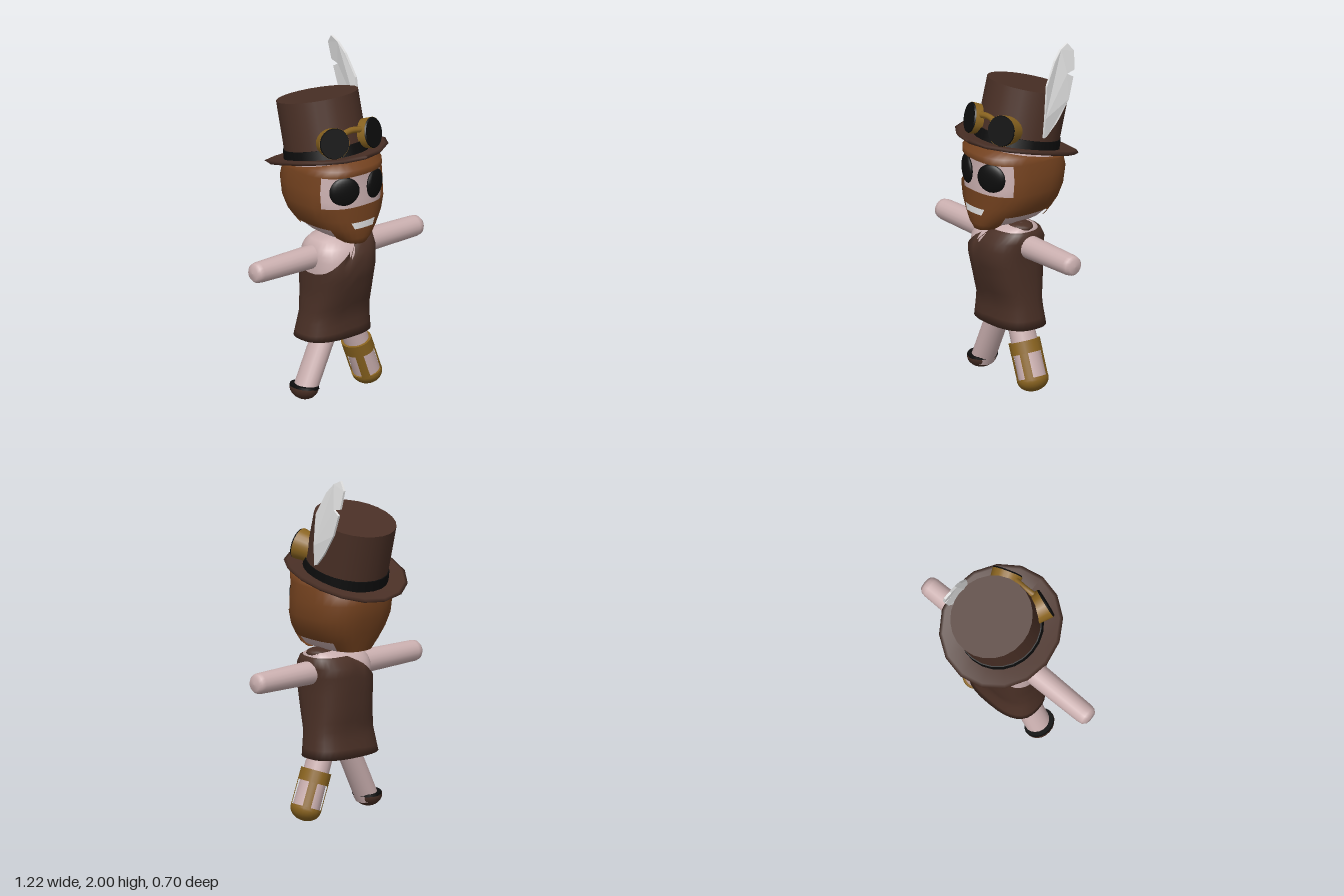
import * as THREE from 'three';

const mat = (name, color, side = THREE.FrontSide) => {
  const m = new THREE.MeshStandardMaterial({ color, side });
  m.name = name;
  return m;
};
const D = THREE.DoubleSide;

// Grid surface from a point rule; optionally closed around, with faces left out by keep().
function grid(point, nu, nv, { wrap = true, keep = () => true } = {}) {
  const cols = wrap ? nu : nu + 1, pos = [], idx = [];
  for (let j = 0; j <= nv; j++) for (let i = 0; i < cols; i++) pos.push(...point(i, j));
  for (let j = 0; j < nv; j++) for (let i = 0; i < nu; i++) {
    if (!keep(i, j)) continue;
    const k = (i + 1) % cols, a = j * cols + i, b = j * cols + k;
    idx.push(a, b, b + cols, a, b + cols, a + cols);
  }
  const g = new THREE.BufferGeometry();
  g.setAttribute('position', new THREE.Float32BufferAttribute(pos, 3));
  g.setIndex(idx);
  g.computeVertexNormals();
  return g;
}

// Point on a stack of rounded sections; each row is [y, xMin, xMax, front, back].
function section(rows, angle, y, power, inset = 0) {
  let k = 0;
  while (k < rows.length - 2 && y > rows[k + 1][0]) k++;
  const t = THREE.MathUtils.clamp((y - rows[k][0]) / (rows[k + 1][0] - rows[k][0]), 0, 1);
  const [, x0, x1, f, b] = rows[k].map((v, n) => v + (rows[k + 1][n] - v) * t);
  const bend = v => Math.sign(v) * Math.abs(v) ** (2 / power);
  const sx = bend(Math.sin(angle)), sz = bend(Math.cos(angle));
  return [(x0 + x1) / 2 + sx * Math.max(0, (x1 - x0) / 2 - inset), y,
    (f + b) / 2 + sz * Math.max(0, (f - b) / 2 - inset)];
}

const HEAD = [
  [0.95, -0.08, 0.08, 0.29, -0.10], [0.985, -0.14, 0.14, 0.30, -0.17], [1.04, -0.19, 0.19, 0.305, -0.19],
  [1.10, -0.235, 0.235, 0.305, -0.21], [1.18, -0.262, 0.262, 0.305, -0.235], [1.27, -0.264, 0.264, 0.30, -0.25],
  [1.36, -0.255, 0.255, 0.298, -0.24], [1.40, -0.245, 0.245, 0.305, -0.23], [1.45, -0.22, 0.22, 0.24, -0.20],
];
const TORSO = [
  [0.36, -0.24, 0.22, 0.195, -0.11], [0.50, -0.215, 0.205, 0.19, -0.085], [0.62, -0.205, 0.20, 0.23, -0.10],
  [0.78, -0.21, 0.20, 0.27, -0.11], [0.89, -0.205, 0.21, 0.255, -0.11], [0.945, -0.17, 0.21, 0.20, -0.06],
  [0.972, -0.09, 0.19, 0.14, 0.0], [0.982, -0.02, 0.14, 0.09, 0.05],
];

export function createModel() {
  const root = new THREE.Group();
  const skin = mat('skin', 0xcbb0b0, D), hair = mat('hair brown', 0x74421f, D);
  const cloth = mat('dark brown cloth', 0x4a3026, D), black = mat('black', 0x0d0d0d);
  const gold = mat('brass', 0x8a6420, D), white = mat('white', 0xe2e2e2, D);

  const add = (parent, name, geo, material, p = [0, 0, 0], r = [0, 0, 0], s = [1, 1, 1]) => {
    const m = new THREE.Mesh(geo, material);
    m.name = name;
    m.position.set(...p); m.rotation.set(...r); m.scale.set(...s);
    parent.add(m);
    return m;
  };
  const group = (name, p, r = [0, 0, 0], parent = root) => {
    const g = new THREE.Group();
    g.name = name;
    g.position.set(...p); g.rotation.set(...r);
    parent.add(g);
    return g;
  };

  // Head: skin inside a shell of hair and beard that leaves the eyes open
  const head = group('head', [0, 0, 0]), N = 32, ang = i => i / N * Math.PI * 2;
  add(head, 'face', grid((i, j) => {
    const y = 0.975 + Math.max(0, j - 1) * 0.04;
    const p = section(HEAD, ang(i), Math.min(y, 1.375), 2.5, 0.015);
    return j === 0 ? [0, y, 0.06] : [p[0], Math.min(p[1], 1.36 + 0.25 * p[2]), p[2]];
  }, N, 11), skin);
  add(head, 'hairAndBeard', grid((i, j) => {
    const [x, y, z] = section(HEAD, ang(i), HEAD[Math.max(0, j - 1)][0], 2.5);
    return j === 0 ? [x * 0.6, 0.952, 0.2] : [x, Math.min(y, 1.375 + 0.25 * z), z];
  }, N, HEAD.length, {
    keep: (i, j) => {
      const f = Math.min(i, N - 1 - i);
      if (j < 2) return f < 5;
      if (j === 2) return f < 5 || f > 10;
      return !((j === 5 || j === 6) && f < 5);
    },
  }), hair);
  add(head, 'mouth', grid((i, j) => {
    const x = (i / 4 - 1) * (j ? 0.085 : 0.065), y = j ? 1.088 : 1.05;
    const z = section(HEAD, Math.asin((Math.abs(x) / 0.2) ** 1.25), y, 2.5)[2];
    return [x, y, z + 0.006];
  }, 8, 1, { wrap: false }), white);
  for (const s of [-1, 1]) {
    add(head, 'eye', new THREE.SphereGeometry(1, 20, 14), black,
      [0.11 * s, 1.275, 0.268], [0, 0.42 * s, 0], [0.088, 0.084, 0.025]);
  }

  // Torso and one-shoulder tunic, cut on a diagonal
  add(root, 'torso', grid((i, j) =>
    section(TORSO, ang(i), j < 13 ? 0.5 + j * 0.037 : 0.965, 2.6, j === 14 ? 1 : 0.012), N, 14), skin);
  const ROWS = 14;
  add(root, 'tunic', grid((i, j) => {
    if (j === 0) return [-0.01, 0.37, 0.045];
    let top = 0.982;
    while (top > 0.7 && top > 0.765 + 0.83 * (section(TORSO, ang(i), top, 2.6)[0] + 0.21)) top -= 0.002;
    const t = Math.min(1, (j - 1) / (ROWS - 2));
    return section(TORSO, ang(i), 0.36 + (top - 0.36) * t, 2.6);
  }, N, ROWS - 1), cloth);
  add(root, 'shoulderTop', new THREE.SphereGeometry(1, 16, 8), cloth,
    [0.115, 0.955, 0.07], [0, 0, 0], [0.085, 0.027, 0.07]);

  // Arms
  const armProfile = [[0, 0], [0.04, 0.004], [0.055, 0.02], [0.06, 0.045], [0.068, 0.46]]
    .map(p => new THREE.Vector2(...p));
  for (const s of [-1, 1]) {
    add(root, s > 0 ? 'leftArm' : 'rightArm', new THREE.LatheGeometry(armProfile, 18), skin,
      [0.612 * s, 0.848, 0.065], [0, 0, s * Math.PI / 2]);
  }

  // Left leg with a brass brace: foot cup, four struts and a cuff
  const tube = (rt, rb, h, open = false, start = 0, len = Math.PI * 2, n = 20) =>
    new THREE.CylinderGeometry(rt, rb, h, n, 1, open, start, len);
  const cup = () => new THREE.SphereGeometry(1, 20, 8, 0, Math.PI * 2, Math.PI / 2, Math.PI / 2);
  const left = group('leftLeg', [0.247, 0.011, 0.065], [0, 0, 0.36]);
  left.scale.z = 1.12;
  add(left, 'shin', tube(0.066, 0.074, 0.4), skin, [0, 0.25, 0]);
  add(left, 'braceFoot', cup(), gold, [0, 0.065, 0], [0, 0, 0], [0.083, 0.07, 0.083]);
  add(left, 'braceFootRim', tube(0.083, 0.083, 0.012), gold, [0, 0.068, 0]);
  add(left, 'braceCuff', tube(0.083, 0.083, 0.07), gold, [0, 0.25, 0]);
  for (let k = 0; k < 4; k++) {
    add(left, 'braceStrut', tube(0.082, 0.082, 0.16, true, Math.PI / 4 + k * Math.PI / 2 - 0.28, 0.56, 4),
      gold, [0, 0.145, 0]);
  }

  // Right leg with a soft shoe
  const right = group('rightLeg', [-0.245, 0.03, 0.065], [0, 0, -0.44]);
  right.scale.z = 1.2;
  add(right, 'shin', tube(0.062, 0.062, 0.42), skin, [0, 0.25, 0]);
  const shoe = group('shoe', [-0.228, 0.088, 0.065], [0, 0, -0.08]);
  add(shoe, 'shoeBody', cup(), cloth, [-0.006, 0, 0], [0, 0, 0], [0.075, 0.073, 0.092]);
  add(shoe, 'shoeTrim', tube(0.074, 0.076, 0.014), black, [-0.002, 0.004, 0], [0, 0, 0], [1, 1, 1.22]);

  // Top hat, tilted back
  const hat = group('hat', [-0.01, 1.39, 0], [-0.25, 0, 0]);
  const brim = new THREE.LatheGeometry([[0, -0.012], [0.25, -0.012], [0.325, -0.012], [0.345, 0.004],
    [0.325, 0.012], [0.25, 0.008], [0, 0.008]].map(p => new THREE.Vector2(...p)), 16);
  const bp = brim.attributes.position;
  for (let i = 0; i < bp.count; i++) bp.setY(i, bp.getY(i) + 0.035 * (bp.getX(i) / 0.345) ** 2);
  brim.computeVertexNormals();
  add(hat, 'brim', brim, cloth, [0, 0, 0], [0, 0, 0], [1, 1, 1.045]);
  add(hat, 'crown', tube(0.23, 0.23, 0.35, false, 0, Math.PI * 2, 24), cloth,
    [0, 0.175, 0], [0, 0, 0], [1, 1, 1.035]);
  add(hat, 'hatBand', tube(0.236, 0.24, 0.06, false, 0, Math.PI * 2, 24), black,
    [0, 0.042, 0], [0, 0, 0], [1, 1, 1.035]);

  // Goggles on the hat
  for (const s of [-1, 1]) {
    const g = group('goggle', [0.14 * s + 0.008, 0.105, 0.254], [0, 0.34 * s, 0], hat);
    add(g, 'goggleCup', tube(0.089, 0.076, 0.13), gold, [0, 0, -0.066], [Math.PI / 2, 0, 0]);
    add(g, 'goggleLens', tube(0.084, 0.088, 0.009), black, [0, 0, 0.003], [Math.PI / 2, 0, 0]);
  }
  const arch = new THREE.CatmullRomCurve3([[-0.09, 0.135, 0.25], [0, 0.15, 0.245], [0.105, 0.135, 0.25]]
    .map(p => new THREE.Vector3(...p)));
  add(hat, 'goggleBridge', new THREE.TubeGeometry(arch, 12, 0.018, 8), gold);

  // Feather: outline in the side plane, bent sideways along its height
  const outline = [[0.01, 1.485], [0.015, 1.6], [0.026, 1.74], [0.03, 1.79], [0.1, 1.92], [0.15, 1.975],
    [0.2, 2.0], [0.238, 1.95], [0.227, 1.845], [0.175, 1.833], [0.217, 1.807], [0.18, 1.685],
    [0.1, 1.565], [0.03, 1.49]].map(p => new THREE.Vector2(...p));
  const feather = new THREE.ExtrudeGeometry(new THREE.Shape(outline), { depth: 0.014, bevelEnabled: false });
  feather.rotateY(Math.PI / 2);
  const fp = feather.attributes.position;
  for (let i = 0; i < fp.count; i++) {
    const h = (fp.getY(i) - 1.485) / 0.515;
    fp.setX(i, fp.getX(i) + 0.215 + 0.06 * h - 0.088 * h * h);
  }
  feather.computeVertexNormals();
  add(root, 'feather', feather, white);
  return root;
}
